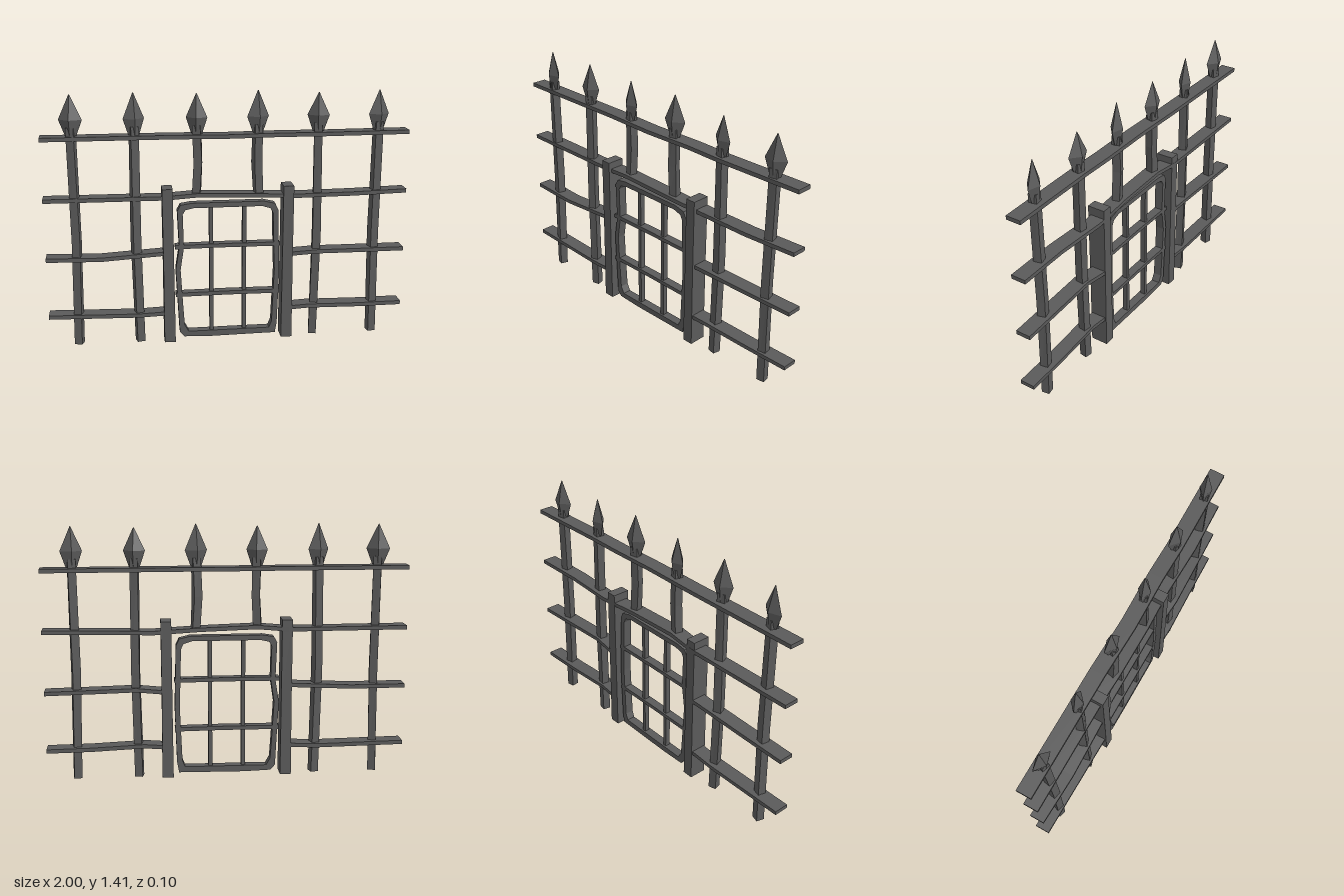
import * as THREE from 'three';

const iron = new THREE.MeshStandardMaterial({ color: 0x5a5a5a, flatShading: true });

// Closed solid through a list of equal-length rings of [x, y, z] corners
function loft(rings) {
  const n = rings[0].length, index = [];
  for (let i = 0; i < rings.length - 1; i++) {
    for (let j = 0; j < n; j++) {
      const a = i * n + j, b = i * n + (j + 1) % n;
      index.push(a, b, b + n, a, b + n, a + n);
    }
  }
  const last = (rings.length - 1) * n;
  for (let j = 1; j < n - 1; j++) {
    index.push(0, j + 1, j, last, last + j, last + j + 1);
  }
  const geo = new THREE.BufferGeometry();
  geo.setAttribute('position', new THREE.Float32BufferAttribute(rings.flat(2), 3));
  geo.setIndex(index);
  geo.computeVertexNormals();
  return geo;
}

// Flat bar running along x; each station is [x, y, z]
const flatBar = (stations, h, d) => loft(stations.map(([x, y, z]) => [
  [x, y - h / 2, z - d / 2], [x, y + h / 2, z - d / 2],
  [x, y + h / 2, z + d / 2], [x, y - h / 2, z + d / 2],
]));

// Four-cornered ring around the y axis, with corners rx and rz from the centre
function ring(cx, y, cz, rx, rz, yaw) {
  return [0, 1, 2, 3].map((k) => {
    const a = k * Math.PI / 2;
    const x = Math.sin(a) * rx, z = Math.cos(a) * rz;
    return [cx + x * Math.cos(yaw) + z * Math.sin(yaw), y, cz - x * Math.sin(yaw) + z * Math.cos(yaw)];
  });
}

export function createModel() {
  const model = new THREE.Group();
  const add = (name, geo, parent = model) => {
    const mesh = new THREE.Mesh(geo, iron);
    mesh.name = name;
    parent.add(mesh);
    return mesh;
  };

  // Pickets with spear heads: x, foot, tip, head half-width, shaft yaw
  const pickets = [
    [-0.835, 0, 1.405, 0.064, 0.5], [-0.503, 0, 1.41, 0.058, 1.05],
    [-0.167, 0.84, 1.4, 0.058, 0.55], [0.165, 0.84, 1.412, 0.062, 1.0],
    [0.497, 0, 1.395, 0.06, 0.6], [0.832, 0, 1.403, 0.06, 0.95],
  ];
  pickets.forEach(([x, foot, tip, w, yaw], i) => {
    const picket = new THREE.Group();
    picket.name = 'picket';
    model.add(picket);
    const lean = i % 2 ? -0.005 : 0.005;
    const mid = (foot + 1.2) / 2;
    add('shaft', loft([
      ring(x - lean, foot, 0, 0.031, 0.031, yaw),
      ring(x + lean, mid, 0, 0.032, 0.032, yaw + 0.1),
      ring(x, 1.23, 0, 0.031, 0.031, yaw),
    ]), picket);
    const turn = i % 2 ? 0.22 : -0.2;
    add('spearHead', loft([
      ring(x, 1.185, 0, 0.03, 0.022, turn),
      ring(x, 1.272, 0, w, 0.034, turn),
      ring(x, tip, 0, 0.002, 0.002, turn),
    ]), picket);
  });

  // Slightly bent rails, cut by the gate opening on the lower rows
  const rails = [
    [[-1, 1.172, -0.01], [-0.3, 1.172, -0.008], [0, 1.17, 0], [0.3, 1.172, -0.006], [0.5, 1.171, -0.002], [1, 1.172, -0.01]],
    [[-1, 0.838, -0.01], [-0.34, 0.836, -0.01], [-0.17, 0.85, 0], [0.15, 0.84, 0], [0.4, 0.828, -0.01], [0.7, 0.834, 0], [1, 0.84, -0.01]],
    [[-1, 0.505, -0.01], [-0.7, 0.502, 0], [-0.5, 0.513, -0.004], [-0.33, 0.522, -0.008]],
    [[0.33, 0.492, -0.008], [0.5, 0.506, 0.006], [0.7, 0.503, 0], [1, 0.5, -0.01]],
    [[-1, 0.172, -0.01], [-0.5, 0.163, -0.004], [-0.33, 0.171, 0]],
    [[0.33, 0.173, 0], [0.46, 0.182, 0.006], [0.75, 0.173, -0.004], [1, 0.172, -0.01]],
  ];
  rails.forEach((path) => add('rail', flatBar(path, 0.022, 0.084)));

  // Gate posts
  for (const side of [-1, 1]) {
    const box = (y, cx, r) => {
      const x = side * cx;
      return [[x - r, y, -0.05], [x - r, y, 0.05], [x + r, y, 0.05], [x + r, y, -0.05]];
    };
    add('gatePost', loft([box(0, 0.332, 0.031), box(0.45, 0.332, 0.029), box(0.89, 0.333, 0.029)]));
  }

  // Gate frame: bulging outline with rounded corners
  const gate = new THREE.Group();
  gate.name = 'gate';
  model.add(gate);
  const points = (list) => list.map(([x, y]) => new THREE.Vector2(x, y));
  const outline = new THREE.Shape(points([
    [-0.25, 0.02], [-0.1, 0.015], [0.27, 0.02], [0.28, 0.08], [0.29, 0.4], [0.285, 0.55], [0.28, 0.75],
    [0.262, 0.788], [0.2, 0.803], [-0.2, 0.803], [-0.262, 0.793], [-0.28, 0.76],
    [-0.272, 0.55], [-0.293, 0.42], [-0.282, 0.2], [-0.275, 0.05],
  ]));
  outline.holes.push(new THREE.Path(points([
    [-0.225, 0.05], [-0.247, 0.09], [-0.254, 0.2], [-0.266, 0.42], [-0.246, 0.55], [-0.25, 0.74],
    [-0.235, 0.765], [-0.19, 0.775], [0.19, 0.775], [0.238, 0.76], [0.252, 0.73], [0.257, 0.55],
    [0.262, 0.4], [0.25, 0.09], [0.235, 0.052],
  ])));
  const frame = new THREE.ExtrudeGeometry(outline, { depth: 0.05, bevelEnabled: false });
  add('gateFrame', frame.translate(0, 0, -0.025), gate);

  // Gate grille
  for (const x of [-0.093, 0.092]) {
    add('gateUpright', new THREE.BoxGeometry(0.022, 0.76, 0.03), gate).position.set(x, 0.41, 0);
  }
  for (const y of [0.272, 0.553]) {
    add('gateCrossbar', flatBar([[-0.294, y, 0], [0, y + 0.002, 0], [0.29, y, 0]], 0.022, 0.05), gate);
  }
  return model;
}
